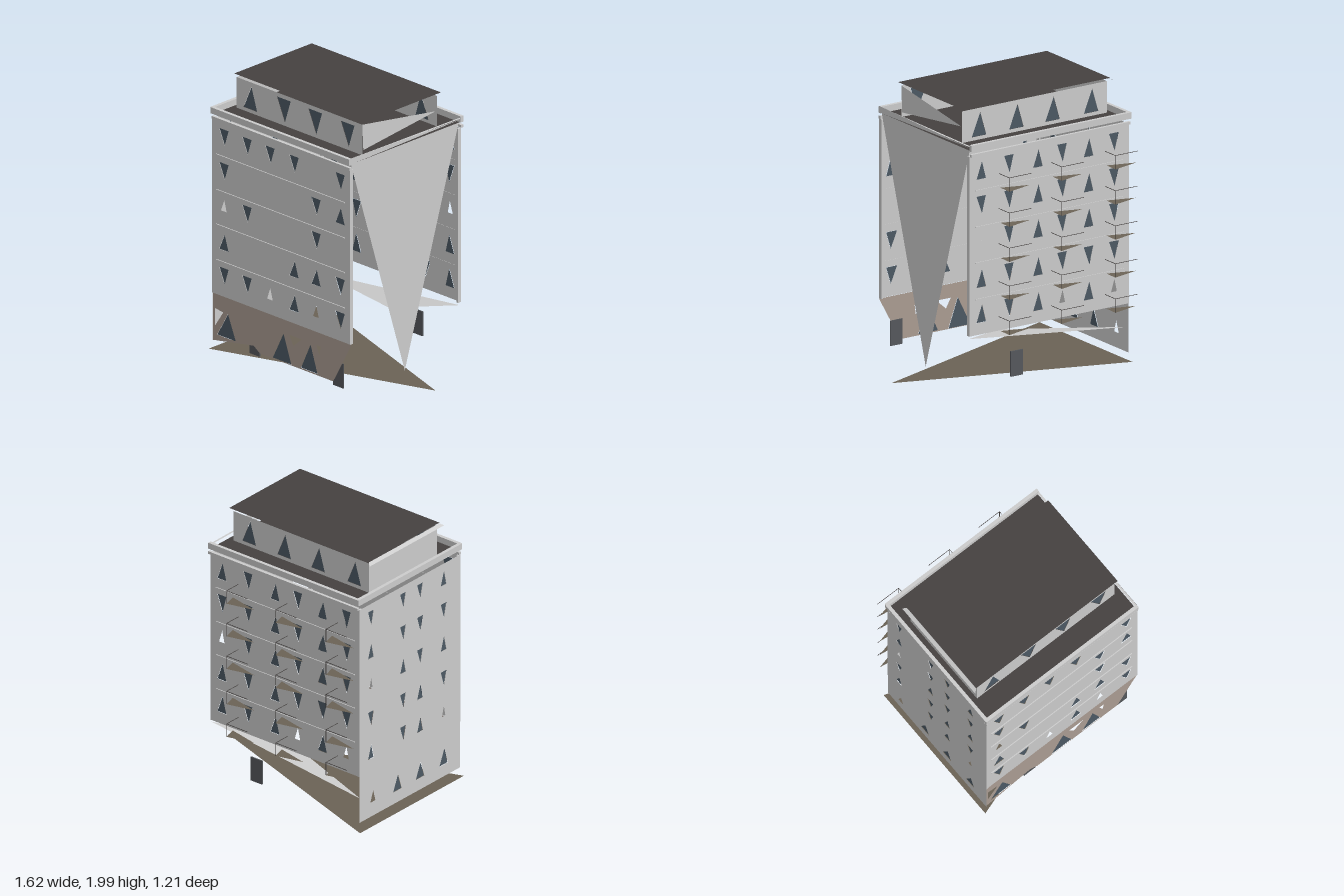
import * as THREE from 'three';

const mat = (color) => new THREE.MeshStandardMaterial({ color, side: THREE.DoubleSide, flatShading: true });
const GREY = mat(0xcccccc), BROWN = mat(0xaa9c92), DARK = mat(0x454140);
const GLASS = mat(0x4c5964), EARTH = mat(0x6a6255), DOOR = mat(0x55585c);

const FACING = { front: 0, right: Math.PI / 2, back: Math.PI, left: -Math.PI / 2 };

function add(parent, name, geometry, material) {
  const m = new THREE.Mesh(geometry, material);
  m.name = name;
  parent.add(m);
  return m;
}

// Box given by its minimum and maximum corner
function block(parent, name, a, b, material = GREY) {
  const m = add(parent, name, new THREE.BoxGeometry(b[0] - a[0], b[1] - a[1], b[2] - a[2]), material);
  m.position.set((a[0] + b[0]) / 2, (a[1] + b[1]) / 2, (a[2] + b[2]) / 2);
  return m;
}

// Flat sheet through three or four points
function sheet(parent, name, pts, material = GREY) {
  const g = new THREE.BufferGeometry();
  g.setAttribute('position', new THREE.Float32BufferAttribute(pts.flat(), 3));
  g.setIndex(pts.length === 4 ? [0, 1, 2, 0, 2, 3] : [0, 1, 2]);
  g.computeVertexNormals();
  return add(parent, name, g, material);
}

const points = (list) => list.map(([x, y]) => new THREE.Vector2(x, y));

// Triangular opening, pointing down (d) or up (u, o); o stays unglazed
function opening(u, v, w, h, kind) {
  const s = kind === 'd' ? 1 : -1;
  return {
    kind,
    pts: points([[u - w / 2, v + s * h / 2], [u + w / 2, v + s * h / 2], [u + w * 0.08, v - s * h / 2]]),
  };
}

// Grid of openings described by one string per floor
function grid(cols, rows, pattern, w, h) {
  const out = [];
  rows.forEach((v, r) => cols.forEach((u, c) => {
    const kind = pattern[r][c];
    if (kind !== '.') out.push(opening(u, v, kind === 'o' ? w * 0.6 : w, kind === 'o' ? h * 0.7 : h, kind));
  }));
  return out;
}

// Thin wall with glazed openings, turned to face one side
function wall(parent, name, side, distance, outline, openings, material = GREY) {
  const g = new THREE.Group();
  g.name = name;
  const shape = new THREE.Shape(points(outline));
  openings.forEach((o) => shape.holes.push(new THREE.Path(o.pts)));
  add(g, name + 'Panel', new THREE.ShapeGeometry(shape), material);
  openings.filter((o) => o.kind !== 'o').forEach((o) => {
    add(g, 'windowPane', new THREE.ShapeGeometry(new THREE.Shape(o.pts)), GLASS).position.z = -0.004;
  });
  g.rotation.y = FACING[side];
  const n = new THREE.Vector3(0, 0, distance).applyAxisAngle(new THREE.Vector3(0, 1, 0), FACING[side]);
  g.position.copy(n);
  parent.add(g);
  return g;
}

const rect = (u0, v0, u1, v1) => [[u0, v0], [u1, v0], [u1, v1], [u0, v1]];

export function createModel() {
  const model = new THREE.Group();
  model.name = 'apartmentBlock';
  const floors = [1.59, 1.34, 1.09, 0.82, 0.57];

  // Ground sheet
  sheet(model, 'ground', [[0.81, 0.005, 0.045], [-0.81, 0.005, -0.5], [-0.81, 0.005, 0.6]], EARTH);

  // Upper front facade
  wall(model, 'frontWall', 'front', 0.585, rect(-0.79, 0.42, 0.53, 1.7),
    grid([-0.68, -0.46, -0.24, -0.01, 0.2, 0.43], floors,
      ['dddd.d', 'd...du', 'od..d.', 'u..uud', 'ddouod'], 0.09, 0.12));

  // Ground floor front, with ragged lower edge
  wall(model, 'groundFloorFront', 'front', 0.58,
    [[-0.79, 0.07], [-0.4, 0.14], [-0.34, 0.1], [0.36, 0.1], [0.53, 0.41], [0.53, 0.42], [-0.79, 0.42]],
    [opening(-0.66, 0.21, 0.18, 0.18, 'u'), opening(-0.13, 0.21, 0.18, 0.21, 'u'),
      opening(0.13, 0.21, 0.16, 0.2, 'u'),
      { kind: 'o', pts: points([[-0.77, 0.18], [-0.69, 0.3], [-0.77, 0.31]]) },
      { kind: 'o', pts: points([[-0.06, 0.32], [-0.02, 0.25], [0.06, 0.32]]) },
      { kind: 'o', pts: points([[0.2, 0.32], [0.23, 0.25], [0.24, 0.32]]) }], BROWN);
  for (const x of [-0.45, 0.35]) block(model, 'frontDoor', [x, 0.07, 0.565], [x + 0.1, 0.25, 0.572], DOOR);
  block(model, 'backDoor', [0.08, 0.07, -0.475], [0.18, 0.25, -0.465], DOOR);

  // Left wall, full height
  wall(model, 'leftWall', 'left', 0.79, rect(-0.48, 0.07, 0.585, 1.7), [
    ...grid([-0.36, -0.02, 0.16, 0.41], floors, ['dddu', 'uddd', 'oudu', 'ddud', 'uduo'], 0.06, 0.11),
    ...grid([-0.34, -0.08, 0.16, 0.41], [0.22], ['ouuu'], 0.09, 0.12)]);

  // Right side: one large tapering panel
  sheet(model, 'rightPanel', [[0.52, 1.74, 0.57], [0.52, 0.07, 0.05], [0.52, 1.74, -0.47]]);

  // Back wall (u runs towards -x) and the hanging sheet under it
  wall(model, 'backWall', 'back', 0.48, rect(-0.53, 0.42, 0.79, 1.7),
    grid([-0.43, -0.2, 0.04, 0.24, 0.46, 0.67], floors,
      ['ududud', 'ddudud', 'odudud', 'ududdd', 'uduouo'], 0.08, 0.13));
  sheet(model, 'backSoffit', [[0.53, 0.4, -0.47], [-0.79, 0.25, -0.47], [0.1, 0.33, -0.22]]);

  // Balconies: pointed slab, thin rail and post
  floors.forEach((f) => {
    const y = f - 0.15;
    for (const x of [-0.8, -0.355, 0.08]) {
      const b = new THREE.Group();
      b.name = 'balcony';
      sheet(b, 'balconySlab', [[x, y, -0.555], [x + 0.22, y + 0.01, -0.52], [x + 0.205, y, -0.605]], EARTH);
      block(b, 'balconyRail', [x + 0.02, y + 0.097, -0.605], [x + 0.205, y + 0.1, -0.602], DARK);
      block(b, 'balconySideRail', [x + 0.203, y + 0.097, -0.605], [x + 0.206, y + 0.1, -0.48], DARK);
      block(b, 'balconyPost', [x + 0.203, y, -0.605], [x + 0.206, y + 0.1, -0.602], DARK);
      model.add(b);
    }
  });

  // Floor courses and corner strips
  for (const y of [1.45, 1.19, 0.935, 0.675]) {
    block(model, 'frontCourse', [-0.75, y - 0.003, 0.583], [0.48, y + 0.003, 0.592]);
    block(model, 'backCourse', [-0.75, y - 0.003, -0.486], [0.48, y + 0.003, -0.478]);
  }
  for (const [x, z] of [[-0.792, 0.56], [0.515, 0.56], [-0.792, -0.482], [0.515, -0.482]]) {
    block(model, 'cornerStrip', [x, 0.42, z], [x + 0.015, 1.7, z + 0.027]);
  }

  // Main roof and parapet, tapering along the right side
  sheet(model, 'mainRoof', [[-0.78, 1.74, 0.575], [0.52, 1.74, 0.575], [0.52, 1.74, -0.48], [-0.78, 1.74, -0.48]], DARK);
  for (const [z, name] of [[0.572, 'front'], [-0.505, 'back']]) {
    block(model, name + 'Parapet', [-0.795, 1.74, z], [0.53, 1.785, z + 0.025]);
    block(model, name + 'Ledge', [-0.79, 1.7, z], [0.53, 1.72, z + 0.02]);
  }
  block(model, 'leftParapet', [-0.8, 1.74, -0.5], [-0.775, 1.785, 0.595]);
  sheet(model, 'rightParapet', [[0.53, 1.79, 0.59], [0.53, 1.745, 0.59], [0.53, 1.765, -0.5]]);
  sheet(model, 'rightCoping', [[0.53, 1.78, 0.59], [0.53, 1.77, -0.5], [0.515, 1.77, -0.5], [0.515, 1.78, 0.59]]);

  // Penthouse
  const kinds = ['u', 'd', 'd', 'd'];
  const tops = [-0.6, -0.28, 0.02, 0.33];
  wall(model, 'penthouseFront', 'front', 0.41, rect(-0.73, 1.745, 0.47, 1.97),
    tops.map((x, i) => opening(x, 1.855, 0.13, 0.17, kinds[i])));
  wall(model, 'penthouseBack', 'back', 0.31, rect(-0.47, 1.745, 0.73, 1.97),
    tops.map((x) => opening(-x, 1.855, 0.12, 0.17, 'u')));
  wall(model, 'penthouseLeft', 'left', 0.73, rect(-0.31, 1.745, 0.41, 1.97), []);
  sheet(model, 'penthouseRight', [[0.47, 1.97, 0.41], [0.47, 1.78, 0.4], [0.47, 1.86, -0.3]]);

  // Penthouse roof with its left eave
  sheet(model, 'penthouseRoof', [[-0.745, 1.995, 0.42], [0.49, 1.995, 0.42], [0.49, 1.995, -0.33], [-0.745, 1.995, -0.33]], DARK);
  sheet(model, 'leftEave', [[-0.77, 1.975, 0.44], [-0.745, 1.99, 0.42], [-0.745, 1.99, -0.33], [-0.77, 1.975, -0.35]]);

  return model;
}
